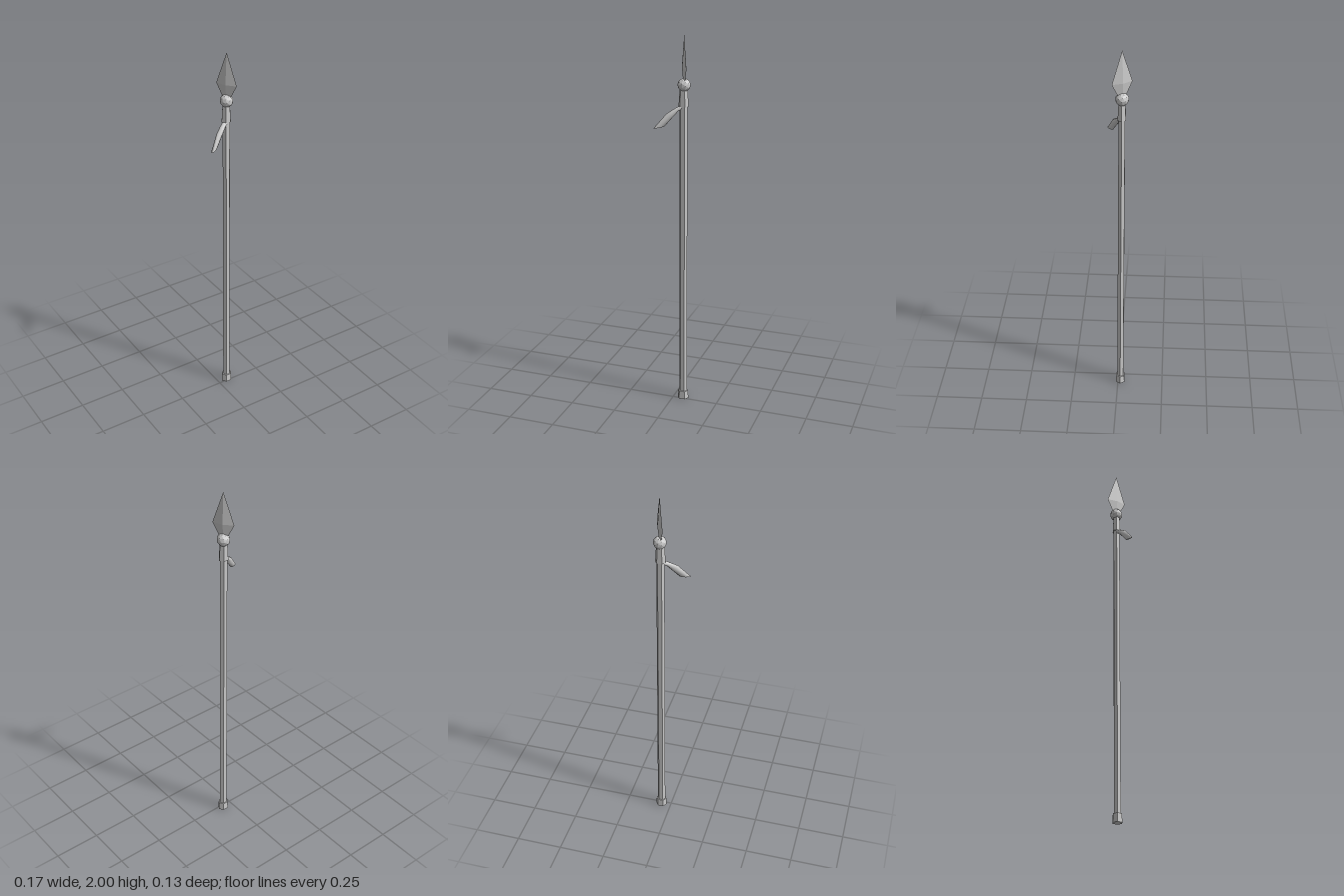
import * as THREE from 'three';

const flat = new THREE.MeshStandardMaterial({ color: 0xcccccc, flatShading: true });
const cloth = new THREE.MeshStandardMaterial({ color: 0xcccccc, side: THREE.DoubleSide });

function add(parent, name, geometry, material = flat) {
  const mesh = new THREE.Mesh(geometry, material);
  mesh.name = name;
  parent.add(mesh);
  return mesh;
}

// Six-sided, slightly flattened pole section whose centre leans a little with height
function poleSection(y0, y1, r0, r1) {
  const g = new THREE.CylinderGeometry(r1, r0, y1 - y0, 6, 1);
  g.rotateY(Math.PI / 2).scale(1, 1, 0.88).translate(0, (y0 + y1) / 2, 0);
  const p = g.attributes.position;
  for (let i = 0; i < p.count; i++) {
    const t = p.getY(i) / 1.75;
    p.setX(i, p.getX(i) + 0.054 - 0.005 * t);
    p.setZ(i, p.getZ(i) - 0.013 - 0.007 * t);
  }
  return g;
}

// Loft of oval sections, each given by its upper point, lower point and half width
function ribbonGeometry(sections, sides = 8) {
  const pos = [], index = [];
  for (const [ux, uy, lx, ly, w] of sections) {
    for (let j = 0; j < sides; j++) {
      const a = (j / sides) * Math.PI * 2;
      const k = (1 + Math.cos(a)) / 2;
      pos.push(lx + (ux - lx) * k, ly + (uy - ly) * k, w * Math.sin(a));
    }
  }
  for (let i = 0; i < sections.length - 1; i++) {
    for (let j = 0; j < sides; j++) {
      const a = i * sides + j, b = i * sides + (j + 1) % sides;
      index.push(a, b, a + sides, b, b + sides, a + sides);
    }
  }
  // end cap
  const last = (sections.length - 1) * sides;
  for (let j = 1; j < sides - 1; j++) index.push(last, last + j, last + j + 1);
  const g = new THREE.BufferGeometry();
  g.setAttribute('position', new THREE.Float32BufferAttribute(pos, 3));
  g.setIndex(index);
  g.computeVertexNormals();
  return g;
}

export function createModel() {
  const model = new THREE.Group();
  model.name = 'spear';

  // pole, foot cap and collar
  add(model, 'shaft', poleSection(0.02, 1.72, 0.022, 0.021));
  add(model, 'footCap', poleSection(0, 0.045, 0.031, 0.029));
  add(model, 'collar', poleSection(1.64, 1.74, 0.027, 0.021));

  // head, turned so the ribbon trails along local +x and the blade spans local z
  const head = new THREE.Group();
  head.name = 'head';
  head.position.set(0.051, 0, -0.021);
  head.rotation.y = THREE.MathUtils.degToRad(210);
  model.add(head);

  add(head, 'knob', new THREE.IcosahedronGeometry(0.034, 1).translate(0, 1.75, 0));

  const bladeProfile = [[0.018, 1.76], [0.056, 1.835], [0, 2]].map(([x, y]) => new THREE.Vector2(x, y));
  add(head, 'blade', new THREE.LatheGeometry(bladeProfile, 4).scale(0.2, 1, 1));

  // upper x, upper y, lower x, lower y, half width
  add(head, 'ribbon', ribbonGeometry([
    [0.01, 1.65, 0.01, 1.625, 0.012],
    [0.045, 1.633, 0.03, 1.617, 0.014],
    [0.09, 1.607, 0.06, 1.585, 0.014],
    [0.158, 1.533, 0.1, 1.542, 0.009],
  ]), cloth);

  return model;
}
